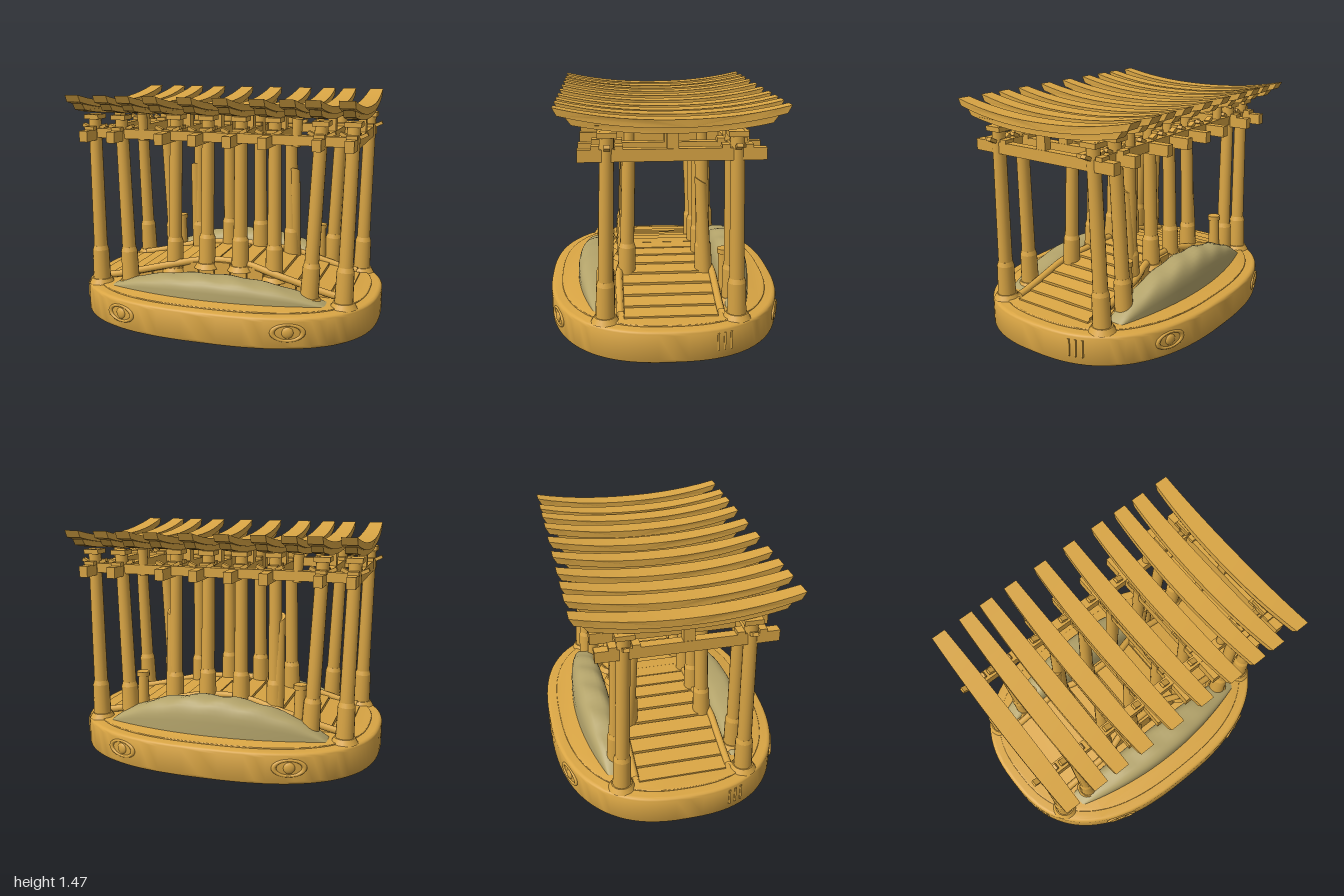
import * as THREE from 'three';
import { toCreasedNormals } from 'three/addons/utils/BufferGeometryUtils.js';

export function createModel() {
  const model = new THREE.Group();
  model.name = 'gatePavilion';
  const gold = new THREE.MeshStandardMaterial({ color: 0xd9a544, side: THREE.DoubleSide });
  gold.name = 'gold wood';
  const moss = new THREE.MeshStandardMaterial({ color: 0xb3a36a, side: THREE.DoubleSide });
  moss.name = 'mossy stone';

  const add = (name, geo, x = 0, y = 0, z = 0, parent = model, mat = gold) => {
    const m = new THREE.Mesh(geo, mat);
    m.name = name;
    m.position.set(x, y, z);
    parent.add(m);
    return m;
  };
  const box = (name, w, h, d, x, y, z, parent) => add(name, new THREE.BoxGeometry(w, h, d), x, y, z, parent);
  const warp = (geo, rule) => {
    const p = geo.attributes.position, v = new THREE.Vector3();
    for (let i = 0; i < p.count; i++) {
      v.fromBufferAttribute(p, i);
      rule(v);
      p.setXYZ(i, v.x, v.y, v.z);
    }
    geo.computeVertexNormals();
    return geo;
  };
  // Round bar between two points
  const bar = (name, a, b, r0, r1, parent) => {
    const A = new THREE.Vector3(...a), B = new THREE.Vector3(...b), d = B.clone().sub(A);
    const m = add(name, new THREE.CylinderGeometry(r1, r0, d.length(), 18), 0, 0, 0, parent);
    m.position.copy(A).lerp(B, 0.5);
    m.quaternion.setFromUnitVectors(new THREE.Vector3(0, 1, 0), d.normalize());
    return m;
  };

  // Rounded oval plinth
  const N = 2.55;
  const oval = (a, b) => {
    const pts = [];
    for (let i = 0; i < 96; i++) {
      const t = (i / 96) * Math.PI * 2, c = Math.cos(t), s = Math.sin(t);
      pts.push(new THREE.Vector2(a * Math.sign(c) * Math.abs(c) ** (2 / N), b * Math.sign(s) * Math.abs(s) ** (2 / N)));
    }
    return new THREE.Shape(pts);
  };
  const slab = (name, a, b, y, h, bevel) => {
    const geo = new THREE.ExtrudeGeometry(oval(a - bevel, b - bevel), {
      depth: h - 2 * bevel, bevelEnabled: true, bevelSize: bevel, bevelThickness: bevel, bevelSegments: 4
    });
    geo.rotateX(-Math.PI / 2);
    add(name, toCreasedNormals(geo, 0.6), 0, y + bevel, 0);
  };
  slab('plinth', 1, 0.75, 0, 0.2, 0.025);
  slab('plinthFloor', 0.93, 0.68, 0.195, 0.014, 0.006);

  // Carved eyes and tally marks around the plinth side
  for (const sx of [1, -1]) for (const sz of [1, -1]) {
    const ex = 0.54, ez = 0.75 * (1 - ex ** N) ** (1 / N);
    const eye = new THREE.Group();
    eye.name = 'carvedEye';
    eye.position.set(sx * ex, 0.11, sz * (ez - 0.004));
    eye.rotation.y = Math.atan2(sx * ex ** (N - 1), sz * (ez / 0.75) ** (N - 1) / 0.75);
    const lid = add('eyelid', new THREE.TorusGeometry(0.08, 0.014, 8, 32), 0, 0, 0, eye);
    lid.scale.set(1.15, 0.62, 0.8);
    const iris = add('iris', new THREE.SphereGeometry(0.036, 18, 12), 0, 0, 0, eye);
    iris.scale.z = 0.45;
    model.add(eye);
  }
  for (const s of [1, -1]) for (let i = -1; i <= 1; i++) {
    const z = 0.3 + i * 0.04, x = (1 - (z / 0.75) ** N) ** (1 / N);
    box('tallyMark', 0.02, 0.11, 0.012, s * (x - 0.004), 0.115, -s * z);
  }

  // Rocky banks beside the bridge
  const bank = (s, h) => {
    const geo = warp(new THREE.PlaneGeometry(2, 1, 40, 16), v => {
      const u = v.x, t = (v.y + 0.5) * Math.PI;
      const f = Math.max(0, 1 - u * u), c = Math.cos(t);
      const rough = 1 + 0.035 * Math.sin(u * 19 + t * 3) * Math.sin(t);
      v.set(u * 0.73, 0.2 + h * f ** 0.85 * Math.sin(t) ** 0.55 * rough,
        s * (0.45 - 0.05 * u * u + Math.sign(c) * Math.abs(c) ** 0.75 * 0.12 * (0.45 + 0.55 * f)));
    });
    add('mossyBank', geo, 0, 0, 0, model, moss);
  };
  bank(1, 0.14);
  bank(-1, 0.235);

  // Arched plank bridge with side kerbs
  const deckY = x => 0.215 + 0.16 * Math.cos(Math.min(1, Math.abs(x) / 0.85) * Math.PI / 2) ** 1.4;
  for (let i = 0; i < 15; i++) {
    const x = -0.77 + i * 0.11, y = deckY(x);
    const plank = box('bridgePlank', 0.104, y - 0.19, 0.56, x, (y + 0.19) / 2, 0);
    plank.rotation.z = Math.atan((deckY(x + 0.04) - deckY(x - 0.04)) / 0.08) * 0.6;
  }
  for (const s of [1, -1]) {
    const pts = [];
    for (let i = -8; i <= 8; i++) {
      const x = i * 0.1;
      pts.push(new THREE.Vector3(x, deckY(x) + 0.005, s * (0.3 - 0.06 * Math.exp(-((x / 0.28) ** 4)))));
    }
    add('bridgeKerb', new THREE.TubeGeometry(new THREE.CatmullRomCurve3(pts), 48, 0.024, 8), 0, 0, 0);
  }

  // Curved gate cap, wider at the middle than at the tips
  const capGeo = (outline, w) => {
    const shape = new THREE.Shape();
    const [z0, yBot, yTop, rise, tipIn] = outline, n = 14;
    for (let i = 0; i <= n; i++) {
      const u = (i / n) * 2 - 1, y = yTop + rise * Math.abs(u) ** 2.2;
      i ? shape.lineTo(u * z0, y) : shape.moveTo(u * z0, y);
    }
    for (let i = n; i >= 0; i--) {
      const u = (i / n) * 2 - 1;
      shape.lineTo(u * (z0 - tipIn), yBot + rise * Math.abs(u) ** 2.2);
    }
    const geo = new THREE.ExtrudeGeometry(shape, { depth: w, bevelEnabled: false });
    geo.translate(0, 0, -w / 2).rotateY(Math.PI / 2);
    warp(geo, v => { v.x *= 1.05 - 0.25 * (Math.abs(v.z) / z0) ** 2; });
    return toCreasedNormals(geo, 0.5);
  };
  const upperCap = capGeo([0.65, 1.355, 1.4, 0.07, 0.025], 0.112);
  const lowerCap = capGeo([0.58, 1.322, 1.362, 0.05, 0.03], 0.085);
  const caps = (x, g) => {
    add('upperCap', upperCap, x, 0, 0, g);
    add('lowerCap', lowerCap, x, 0, 0, g);
  };

  // Full gates: [foot x, top x, foot z, top z, foot y]
  const gates = [[0.82, 0.845, 0.39, 0.36, 0.2], [0.605, 0.655, 0.39, 0.36, 0.21],
    [0.345, 0.33, 0.25, 0.22, 0.28], [0.115, 0.11, 0.25, 0.22, 0.33]];
  for (const s of [1, -1]) for (const [fx, tx, fz, tz, fy] of gates) {
    const g = new THREE.Group();
    g.name = 'gate';
    model.add(g);
    const X = s * tx;
    caps(X, g);
    box('tieBeam', 0.055, 0.07, 1.05, X, 1.2, 0, g);
    box('centreStrut', 0.05, 0.11, 0.065, X, 1.28, 0, g);
    for (const k of [1, -1]) {
      const at = t => [s * (fx + (tx - fx) * t), fy + (1.33 - fy) * t, k * (fz + (tz - fz) * t)];
      bar('post', at(0), at(1), 0.046, 0.04, g);
      bar('postSocket', at(0), at(0.2), 0.058, 0.054, g);
      bar('socketCollar', at(0.2), at(0.225), 0.054, 0.045, g);
      const foot = at(0);
      add('footRing', new THREE.CylinderGeometry(0.065, 0.085, 0.035, 20), foot[0], fy + 0.015, foot[2], g);
      box('postHead', 0.1, 0.03, 0.11, X, 1.315, k * tz, g);
      // Wedges driven beside the post
      for (const e of [1, -1]) {
        box('tieWedge', 0.065, 0.025, 0.045, X, 1.243, k * (tz + e * 0.065), g);
        const w = box('sideWedge', 0.05, 0.022, 0.035, X + e * 0.06, 1.25, k * 0.36, g);
        w.rotation.z = e * 0.45;
      }
    }
  }

  // Postless gates carried on short brackets
  for (const s of [1, -1]) {
    const g = new THREE.Group();
    g.name = 'hangingGate';
    model.add(g);
    caps(s * 0.508, g);
    for (const k of [1, -1]) bar('shortBracket', [s * 0.5, 1.17, k * 0.36], [s * 0.508, 1.34, k * 0.36], 0.028, 0.032, g);
  }

  // Long beams joining the gates
  for (const k of [1, -1]) box('longBeam', 1.74, 0.06, 0.065, 0, 1.21, k * 0.36);

  // Broken posts and stumps at the back
  for (const s of [1, -1]) {
    const broken = new THREE.CylinderGeometry(0.036, 0.045, 0.65, 16);
    warp(broken, v => { if (v.y > 0) v.y += v.z * 0.7; });
    const b = add('brokenPost', toCreasedNormals(broken, 0.6), s * 0.362, 0.6, -0.24);
    b.rotation.x = 0.06;
    bar('stump', [s * 0.53, 0.2, -0.36], [s * 0.53, 0.5, -0.35], 0.04, 0.034);
    bar('stumpRim', [s * 0.53, 0.5, -0.35], [s * 0.53, 0.53, -0.35], 0.042, 0.042);
    add('stumpFoot', new THREE.CylinderGeometry(0.055, 0.075, 0.06, 18), s * 0.53, 0.23, -0.36);
  }
  return model;
}
